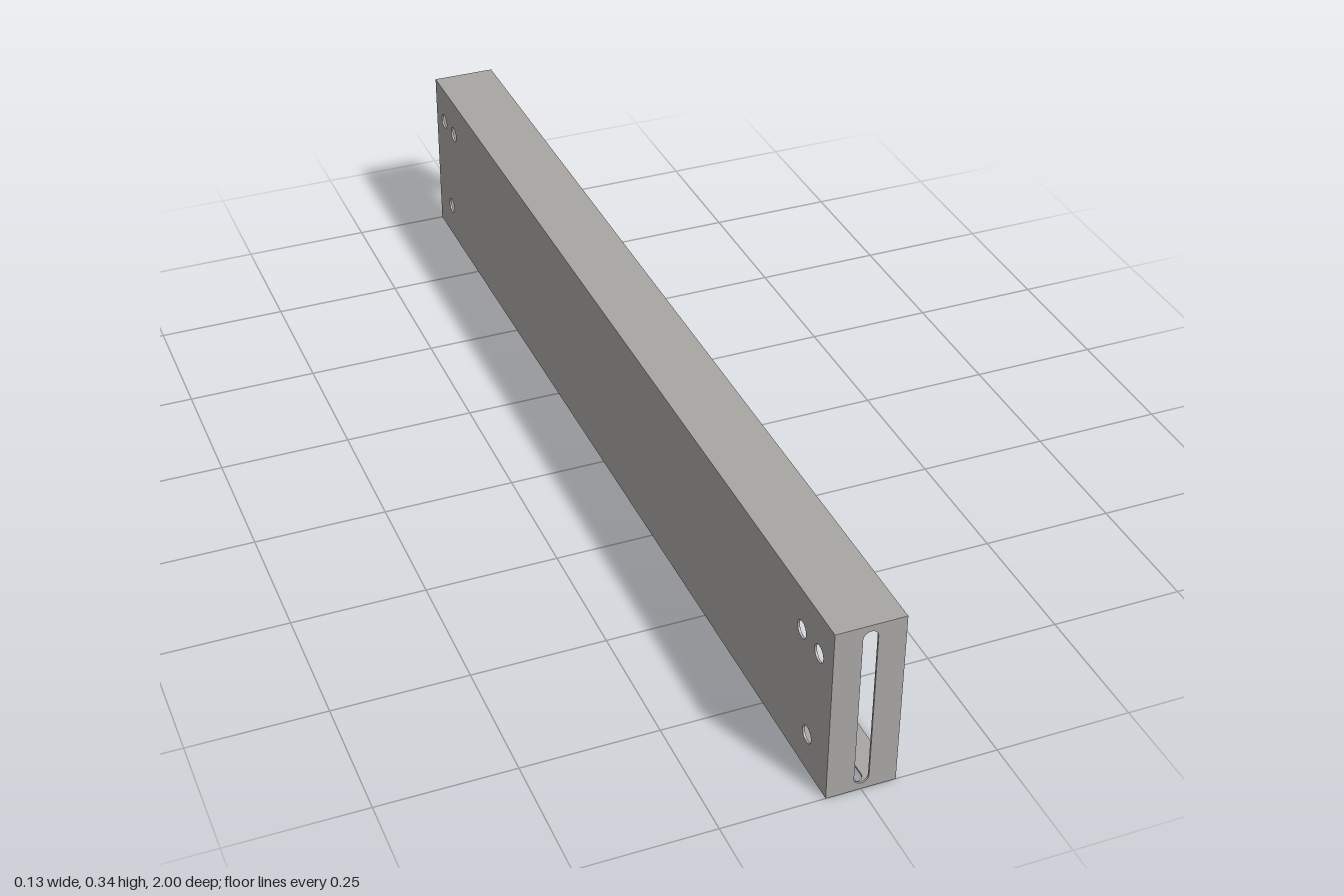
import * as THREE from 'three';

const W = 0.063, H = 0.342, L = 1, T = 0.004; // half width, height, half length, sheet thickness

// Round hole
function circle(x, y, r) {
  return new THREE.Path().absarc(x, y, r, 0, Math.PI * 2, true);
}

// Vertical slot with round ends, running from y0 to y1
function slot(x, y0, y1, r) {
  const p = new THREE.Path();
  p.absarc(x, y1 - r, r, 0, Math.PI, false);
  p.absarc(x, y0 + r, r, Math.PI, Math.PI * 2, false);
  p.closePath();
  return p;
}

// Slot with a larger round opening at its middle
function keyedSlot(half, r, R) {
  const a = Math.acos(r / R);
  const p = new THREE.Path();
  p.absarc(0, half - r, r, 0, Math.PI, false);
  p.absarc(0, 0, R, Math.PI - a, Math.PI + a, false);
  p.absarc(0, -half + r, r, Math.PI, Math.PI * 2, false);
  p.absarc(0, 0, R, -a, a, false);
  p.closePath();
  return p;
}

// Flat sheet with holes, lying in XY and T thick
function sheet(x0, x1, y0, y1, holes = []) {
  const s = new THREE.Shape();
  s.moveTo(x0, y0).lineTo(x1, y0).lineTo(x1, y1).lineTo(x0, y1).closePath();
  s.holes.push(...holes);
  return new THREE.ExtrudeGeometry(s, { depth: T, bevelEnabled: false, curveSegments: 16 });
}

export function createModel() {
  const group = new THREE.Group();
  const steel = new THREE.MeshStandardMaterial({ color: 0xa8a6a3 });
  steel.name = 'steel grey';

  const add = (name, geometry) => {
    const mesh = new THREE.Mesh(geometry, steel);
    mesh.name = name;
    group.add(mesh);
  };

  // Back panel with three mounting holes near each end
  const holes = [];
  for (const s of [-1, 1]) {
    for (const [z, y] of [[0.949, 0.265], [0.885, 0.265], [0.921, 0.072]]) {
      holes.push(circle(s * z, y, 0.016));
    }
  }
  add('backPanel', sheet(-L, L, 0, H, holes).rotateY(-Math.PI / 2).translate(-W + T, 0, 0));

  // Plain top flange
  add('topFlange', sheet(-W + T, W, -L, L).rotateX(Math.PI / 2).translate(0, H, 0));

  // Bottom flange with a row of slots and a central opening
  const half = 0.186, r = 0.0135;
  const slots = [keyedSlot(half, r, 0.028)];
  for (const z of [-0.8, -0.4, 0.4, 0.8]) slots.push(slot(0, z - half, z + half, r));
  add('bottomFlange', sheet(-W + T, W, -L, L, slots).rotateX(Math.PI / 2).translate(0, T, 0));

  // Slotted end flanges
  for (const [name, z] of [['frontEndFlange', L - T], ['rearEndFlange', -L]]) {
    add(name, sheet(-W + T, W, T, H - T, [slot(0, 0.0125, 0.33, r)]).translate(0, 0, z));
  }

  return group;
}
